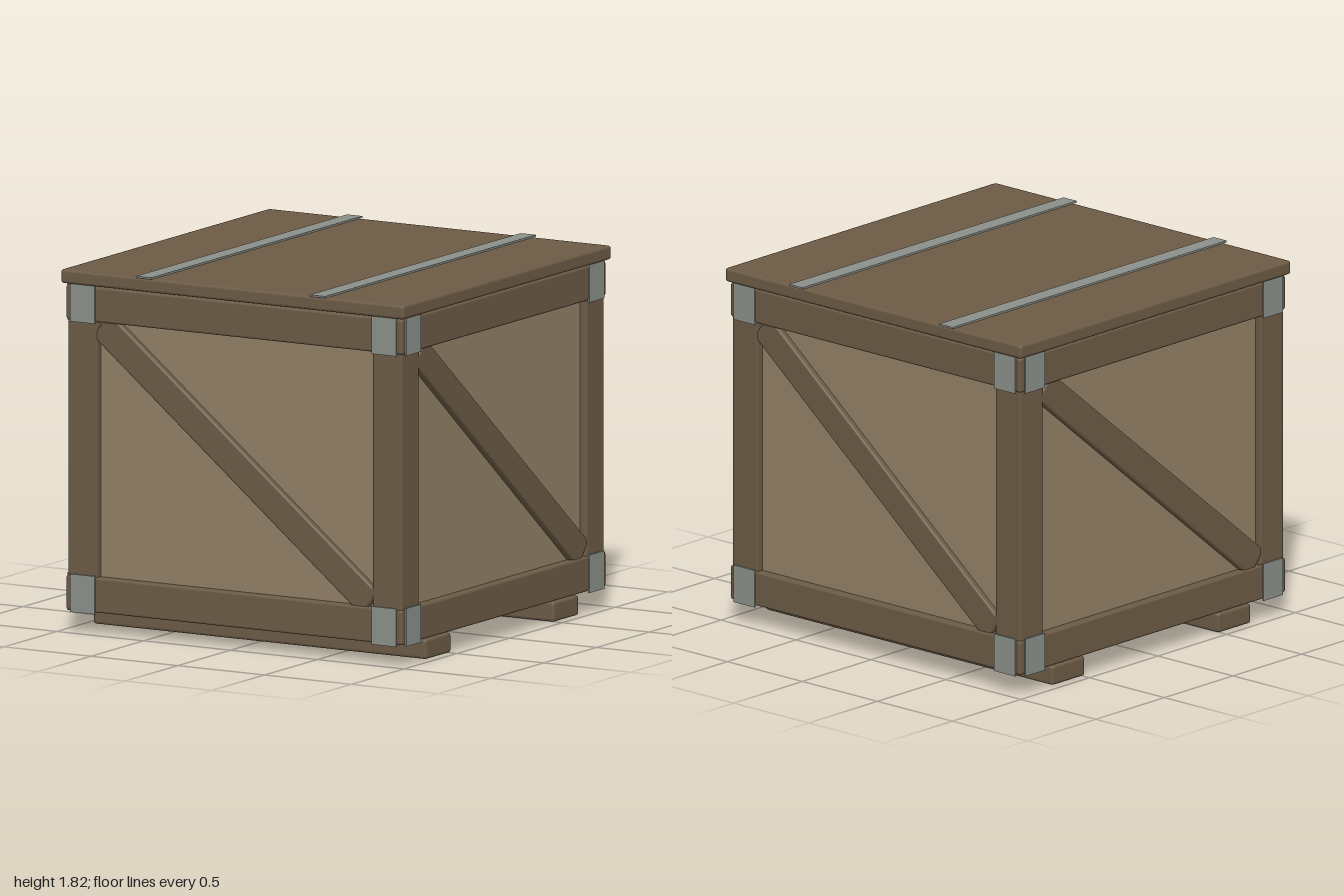
import * as THREE from 'three';
import { RoundedBoxGeometry } from 'three/addons/geometries/RoundedBoxGeometry.js';

const material = (name, color) => {
  const m = new THREE.MeshStandardMaterial({ color });
  m.name = name;
  return m;
};

export function createModel() {
  const frameWood = material('frame wood', 0x6b5a45);
  const panelWood = material('panel wood', 0x917f65);
  const metal = material('grey metal', 0x8a8f89);

  const crate = new THREE.Group();
  crate.name = 'crate';

  const add = (parent, name, geometry, mat, x, y, z) => {
    const mesh = new THREE.Mesh(geometry, mat);
    mesh.name = name;
    mesh.position.set(x, y, z);
    parent.add(mesh);
    return mesh;
  };
  const beam = (w, h, d, r = 0.012) => new RoundedBoxGeometry(w, h, d, 2, r);

  // Inner box: light side panels, dark floor
  add(crate, 'sidePanels', new THREE.BoxGeometry(1.85, 1.6, 1.85), panelWood, 0, 0.945, 0);
  add(crate, 'floor', new THREE.BoxGeometry(1.86, 0.05, 1.86), frameWood, 0, 0.135, 0);

  // Corner posts
  for (const x of [-1, 1]) for (const z of [-1, 1]) {
    add(crate, 'cornerPost', beam(0.17, 1.6, 0.17), frameWood, x * 0.877, 0.925, z * 0.877);
  }

  // Four matching sides: rails, diagonal brace and corner plates
  for (let i = 0; i < 4; i++) {
    const side = new THREE.Group();
    side.name = 'side';
    side.rotation.y = i * Math.PI / 2;
    crate.add(side);

    for (const y of [0.195, 1.648]) {
      add(side, 'rail', beam(1.936, 0.175, 0.1), frameWood, 0, y, 0.918);
      for (const x of [-1, 1]) {
        add(side, 'cornerPlate', new THREE.BoxGeometry(0.14, 0.19, 0.009), metal, x * 0.868, y, 0.9705);
      }
    }
    const brace = add(side, 'brace', beam(1.99, 0.155, 0.07), frameWood, 0, 0.922, 0.923);
    brace.rotation.z = -Math.atan2(1.28, 1.58);
  }

  // Lid with two metal straps
  add(crate, 'lid', beam(1.975, 0.07, 1.975, 0.015), frameWood, 0, 1.776, 0);
  for (const x of [-0.5, 0.5]) {
    add(crate, 'strap', new THREE.BoxGeometry(0.088, 0.009, 2), metal, x, 1.8155, 0);
  }

  // Skids under the floor
  for (const z of [-0.605, 0.605]) {
    add(crate, 'skid', beam(1.92, 0.1, 0.24, 0.015), frameWood, 0, 0.05, z);
  }
  return crate;
}
